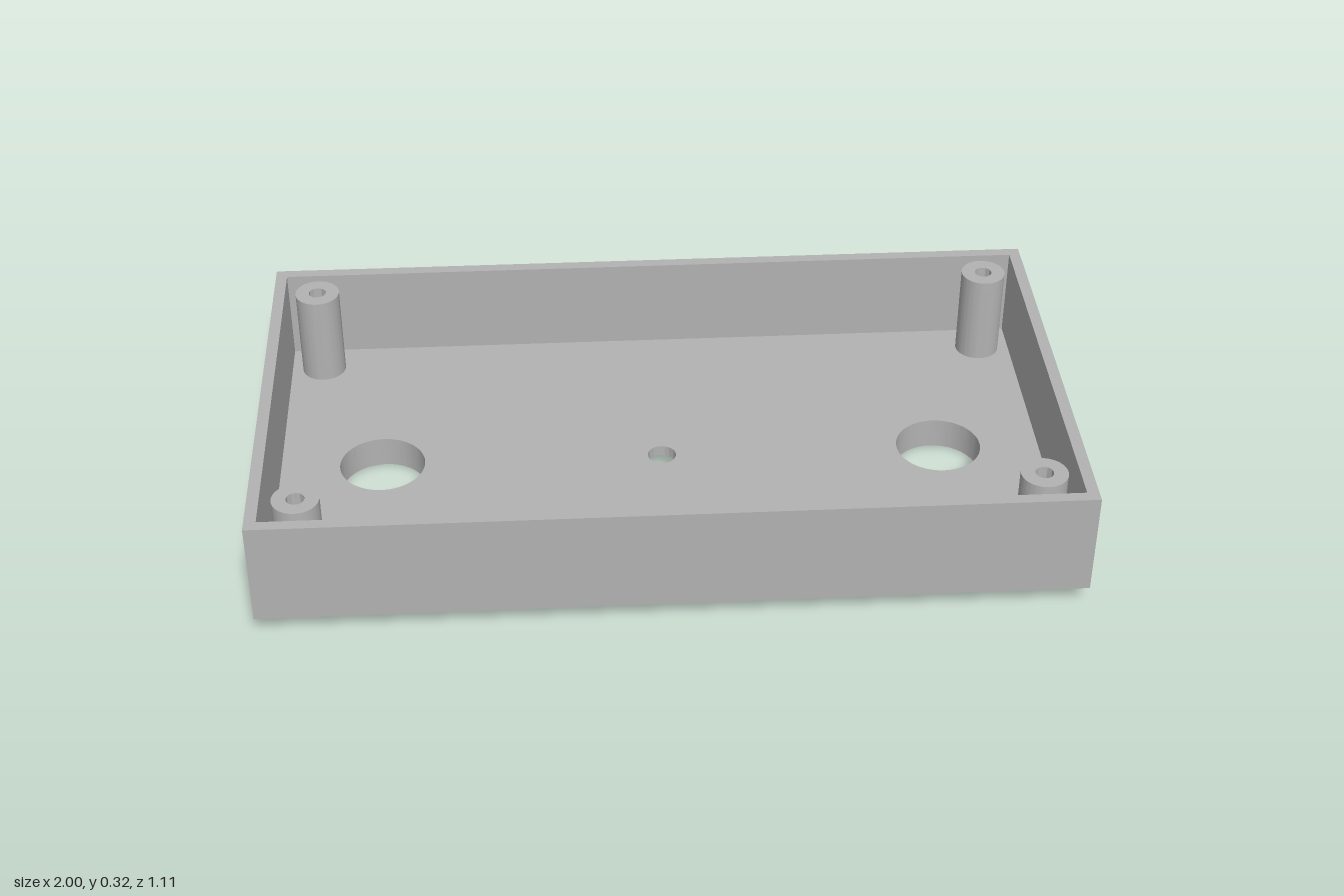
import * as THREE from 'three';
import { toCreasedNormals } from 'three/addons/utils/BufferGeometryUtils.js';

const WIDTH = 2, DEPTH = 1.11, WALL = 0.029;
const BASE = 0.052, FLOOR = 0.081, RIM = 0.321;
const PORT_X = 0.714, PORT_R = 0.108;

function rectangle(Target, w, d) {
  return new Target([[-1, -1], [1, -1], [1, 1], [-1, 1]].map(
    ([x, y]) => new THREE.Vector2(x * w / 2, y * d / 2)));
}

function circle(Target, r, x = 0) {
  const path = new Target();
  path.absarc(x, 0, r, 0, Math.PI * 2);
  return path;
}

// Extrude a plan outline upwards from one height to another
function slab(outline, holes, from, to) {
  outline.holes.push(...holes);
  const geometry = new THREE.ExtrudeGeometry(outline, { depth: to - from, bevelEnabled: false, curveSegments: 40 });
  geometry.rotateX(-Math.PI / 2).translate(0, from, 0);
  return toCreasedNormals(geometry, 0.6);
}

export function createModel() {
  const model = new THREE.Group();
  model.name = 'enclosureTray';
  const plastic = new THREE.MeshStandardMaterial({ color: 0xb2b2b2 });
  plastic.name = 'greyPlastic';

  function add(name, geometry, x = 0, z = 0) {
    const mesh = new THREE.Mesh(geometry, plastic);
    mesh.name = name;
    mesh.position.set(x, 0, z);
    model.add(mesh);
  }

  // Floor with two large ports and a small centre hole
  add('floor', slab(rectangle(THREE.Shape, WIDTH, DEPTH), [
    circle(THREE.Path, PORT_R, -PORT_X),
    circle(THREE.Path, 0.036),
    circle(THREE.Path, PORT_R, PORT_X),
  ], BASE, FLOOR));

  // Continuous side walls
  add('walls', slab(rectangle(THREE.Shape, WIDTH, DEPTH),
    [rectangle(THREE.Path, WIDTH - 2 * WALL, DEPTH - 2 * WALL)], FLOOR, RIM));

  // Collars under the ports, and hollow screw posts in the corners
  const collar = slab(circle(THREE.Shape, 0.139), [circle(THREE.Path, PORT_R)], 0, BASE);
  const post = slab(circle(THREE.Shape, 0.057), [circle(THREE.Path, 0.022)], FLOOR, RIM);
  for (const side of [-1, 1]) {
    const label = side > 0 ? 'left' : 'right';
    add(label + 'PortCollar', collar, side * PORT_X);
    add(label + 'FrontScrewPost', post, side * 0.886, 0.443);
    add(label + 'BackScrewPost', post, side * 0.886, -0.443);
  }
  return model;
}
